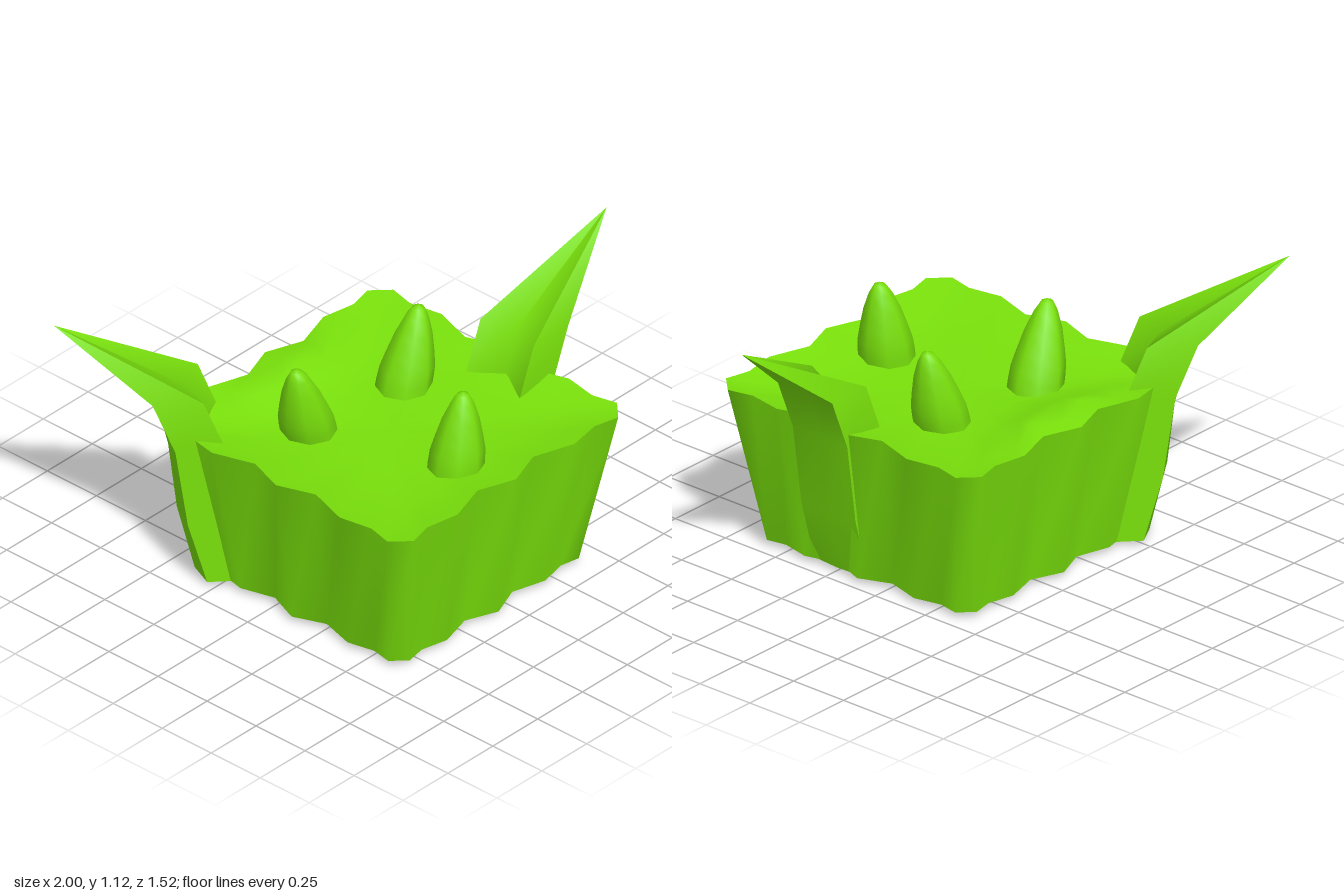
import * as THREE from 'three';
import { toCreasedNormals } from 'three/addons/utils/BufferGeometryUtils.js';

// Skin a stack of closed rings (each counterclockwise seen from above)
function loft(rings) {
  const n = rings[0].length;
  const index = [];
  for (let j = 0; j < rings.length - 1; j++) {
    for (let i = 0; i < n; i++) {
      const a = j * n + i, b = j * n + (i + 1) % n;
      index.push(a, b, b + n, a, b + n, a + n);
    }
  }
  const geometry = new THREE.BufferGeometry();
  geometry.setAttribute('position', new THREE.Float32BufferAttribute(rings.flat(2), 3));
  geometry.setIndex(index);
  geometry.computeVertexNormals();
  return geometry;
}

// Wavy square outline: one side repeated by quarter turns
function wavyOutline() {
  const side = [[0.57, -0.64], [0.465, -0.615], [0.325, -0.64], [0.155, -0.585], [0, -0.64],
    [-0.155, -0.585], [-0.325, -0.64], [-0.465, -0.615], [-0.57, -0.64]];
  const points = [];
  for (let k = 0; k < 4; k++) {
    for (const p of side) {
      let [x, z] = p;
      for (let t = 0; t < k; t++) [x, z] = [z, -x];
      points.push([x, z]);
    }
  }
  return points;
}

export function createModel() {
  const model = new THREE.Group();
  const green = new THREE.MeshStandardMaterial({ color: 0x79e00b, side: THREE.DoubleSide });
  green.name = 'leafGreen';

  const add = (name, geometry) => {
    const mesh = new THREE.Mesh(geometry, green);
    mesh.name = name;
    model.add(mesh);
    return mesh;
  };

  // Tapered body, open underneath, its corners drawn in slightly at the foot
  const cx = -0.085, cz = 0.12;
  const outline = wavyOutline();
  const ring = (scale, height, cornerPull = 0) => outline.map(([x, z]) => {
    const s = scale - cornerPull * Math.abs(x * z) / 0.365;
    const px = cx + x * s, pz = cz + z * s;
    return [px, height(px, pz), pz];
  });
  add('bodyWall', loft([ring(0.862, () => 0.023, 0.035), ring(1, () => 0.66)]));

  // Top surface: a shallow dish with a small swell near the back
  const dish = (scale) => (x, z) => 0.66 - 0.052 * (1 - scale ** 3)
    + 0.055 * Math.exp(-(((x + 0.1) / 0.28) ** 2) - ((z + 0.36) / 0.09) ** 2);
  add('bodyTop', loft([
    ring(1, () => 0.66),
    ...[0.88, 0.75, 0.62, 0.4, 0].map((s) => ring(s, dish(s))),
  ]));

  // Rounded, leaning stubs
  const profile = [[0.108, -0.05], [0.108, 0], [0.105, 0.05], [0.091, 0.11], [0.071, 0.185],
    [0.045, 0.25], [0.024, 0.284], [0, 0.295]].map(([r, y]) => new THREE.Vector2(r, y));
  const stubs = [
    ['frontStub', -0.122, 0.49, 0.033, 0.005],
    ['rightStub', -0.318, -0.09, -0.085, 0.02],
    ['leftStub', 0.165, -0.035, 0.072, 0.005],
  ];
  for (const [name, x, z, leanX, leanZ] of stubs) {
    const geometry = new THREE.LatheGeometry(profile, 8);
    geometry.applyMatrix4(new THREE.Matrix4().set(
      1, leanX / 0.295, 0, 0,
      0, 1, 0, 0,
      0, leanZ / 0.295, 1, 0,
      0, 0, 0, 1));
    add(name, toCreasedNormals(geometry, 1.2)).position.set(x, 0.643, z);
  }

  // Folded spike: grooved inside, keeled outside, open at the foot
  function spike(name, x, z, turn, keel, keelDrop) {
    const w = 0.136;
    // height, inner edge, outer edge, share of the keel
    const levels = [[0.02, 0.225, 0.432, 1], [0.28, 0.3, 0.505, 0.85],
      [0.61, 0.36, 0.552, 0.6], [0.826, 0.445, 0.638, 0]];
    const rings = levels.map(([y, inner, outer, share], i) => [
      [outer, y, w], [outer + keel * share, i === 0 ? y - keelDrop : y, 0], [outer, y, -w],
      [inner, y, -w], [inner + 0.065, y, 0], [inner, y, w],
    ]);
    const tip = Array.from({ length: 6 }, () => [1, 1.12, 0]);
    const mesh = add(name, toCreasedNormals(loft([...rings, tip]), 1.1));
    mesh.position.set(x, 0, z);
    mesh.rotation.y = turn;
  }
  spike('leftSpike', 0, 0.23, 0, 0.012, 0);
  spike('backRightSpike', -0.265, -0.082, 2.395, 0.036, 0.02);

  return model;
}
